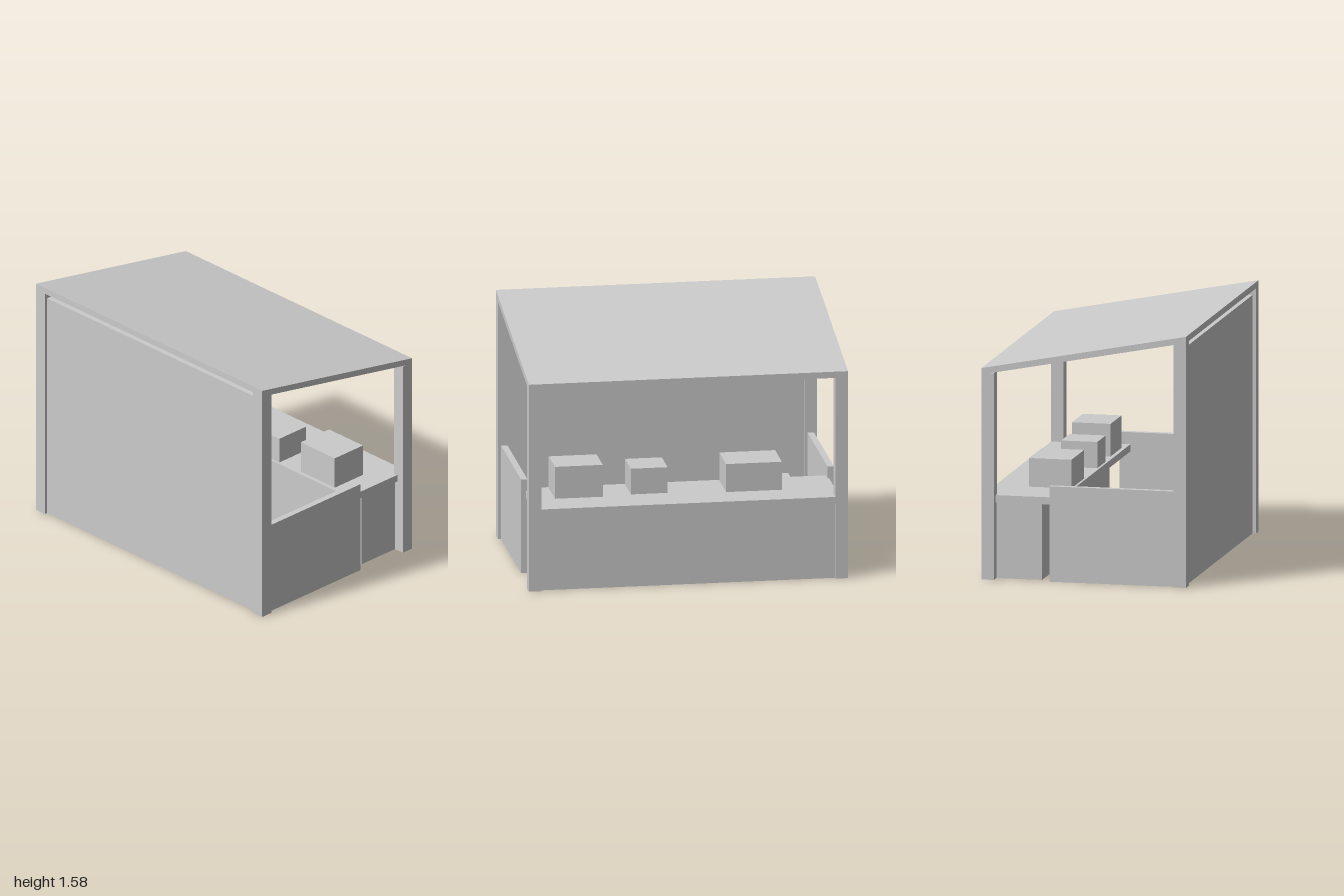
import * as THREE from 'three';

const material = new THREE.MeshStandardMaterial({ color: 0xcccccc, flatShading: true });

export function createModel() {
  const stall = new THREE.Group();
  stall.name = 'marketStall';

  // Box given by its extents on each axis
  function block(name, [x0, x1], [y0, y1], [z0, z1]) {
    const mesh = new THREE.Mesh(new THREE.BoxGeometry(x1 - x0, y1 - y0, z1 - z0), material);
    mesh.position.set((x0 + x1) / 2, (y0 + y1) / 2, (z0 + z1) / 2);
    mesh.name = name;
    stall.add(mesh);
  }

  // Same block at the front and the back
  function mirrored(name, x, y, [z0, z1]) {
    block(name + 'Front', x, y, [z0, z1]);
    block(name + 'Back', x, y, [-z1, -z0]);
  }

  // Corner posts: tall on the wall side, short on the counter side
  mirrored('tallPost', [-0.65, -0.57], [0, 1.54], [0.92, 1]);
  mirrored('shortPost', [0.57, 0.65], [0, 1.3], [0.92, 1]);

  // Sloping roof slab with upright edges
  const profile = new THREE.Shape([
    new THREE.Vector2(-0.65, 1.54), new THREE.Vector2(0.65, 1.29),
    new THREE.Vector2(0.65, 1.33), new THREE.Vector2(-0.65, 1.58),
  ]);
  const roof = new THREE.Mesh(
    new THREE.ExtrudeGeometry(profile, { depth: 2, bevelEnabled: false }), material);
  roof.position.z = -1;
  roof.name = 'roof';
  stall.add(roof);

  // Rear wall, with a slit left open under the roof
  block('rearWall', [-0.63, -0.59], [0, 1.5], [-0.92, 0.92]);

  // Low side panels, leaving a narrow way in beside the counter
  mirrored('sidePanel', [-0.57, 0.22], [0, 0.6], [0.94, 0.98]);

  // Hollow counter, open at the bottom
  block('counterTop', [0.15, 0.65], [0.48, 0.525], [-0.95, 0.95]);
  block('counterFront', [0.59, 0.63], [0, 0.48], [-0.92, 0.92]);
  block('counterInnerPanel', [0.28, 0.3], [0, 0.48], [-0.93, 0.93]);
  mirrored('counterEnd', [0.28, 0.6], [0, 0.48], [0.91, 0.93]);

  // Goods on the counter
  block('counterCrateTall', [0.175, 0.42], [0.525, 0.73], [0.5, 0.8]);
  block('counterCrateSmall', [0.165, 0.395], [0.525, 0.69], [0.09, 0.32]);
  block('counterCrateWide', [0.165, 0.435], [0.525, 0.705], [-0.62, -0.27]);

  // Crates on the ground inside
  block('floorCrateLow', [-0.47, -0.16], [0, 0.25], [0.35, 0.64]);
  block('floorCrateHigh', [-0.52, -0.21], [0, 0.36], [-0.81, -0.43]);

  return stall;
}
